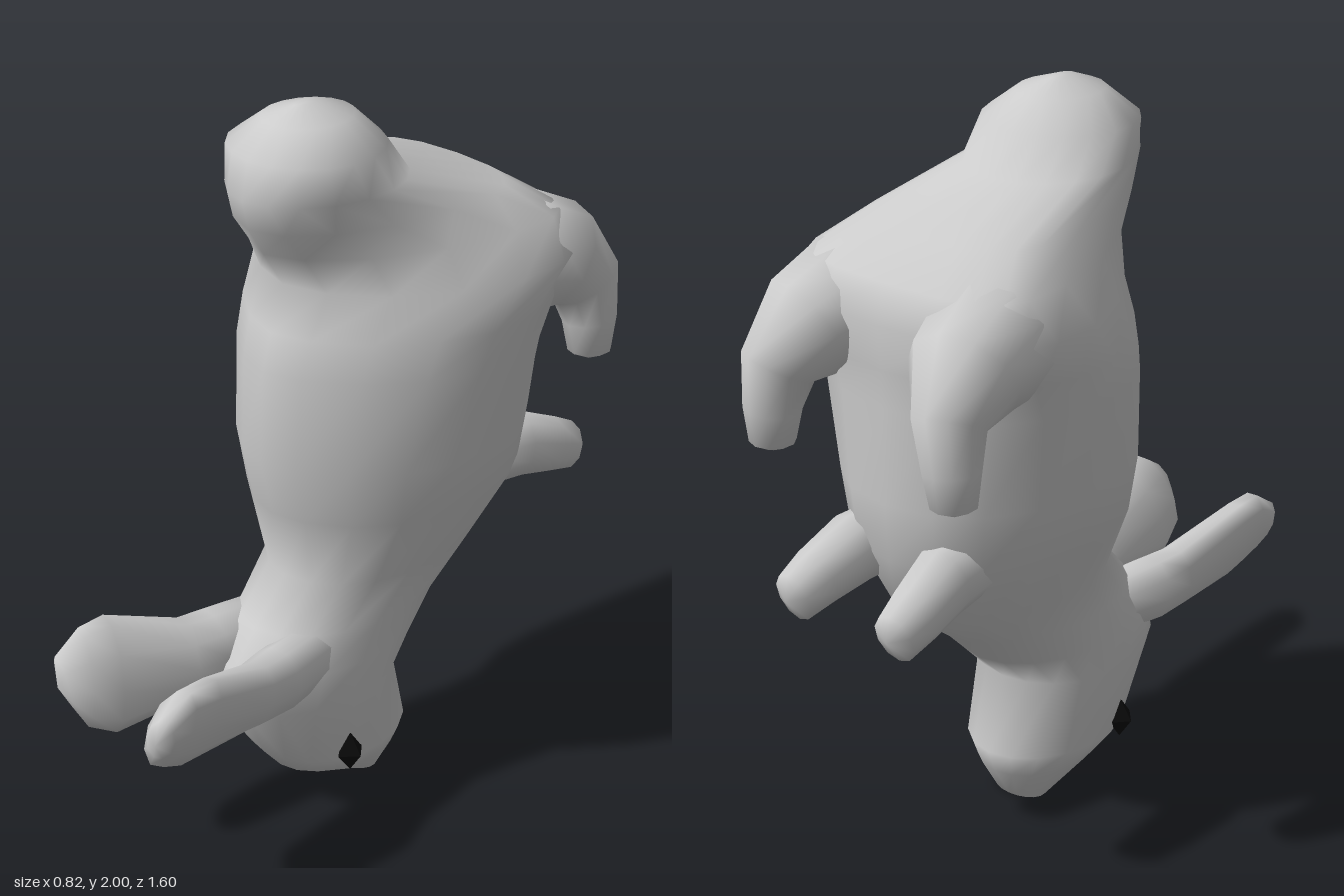
import * as THREE from 'three';

const grey = new THREE.MeshStandardMaterial({ color: 0xcccccc });
const black = new THREE.MeshStandardMaterial({ color: 0x0a0a0a });

// Smooth closed skin over rings of points, with a centre point at each end
function loft(rings, start, end) {
  const n = rings[0].length;
  const pts = [...rings.flat(), start, end];
  const index = [];
  const last = rings.length - 1;
  const s = pts.length - 2, e = pts.length - 1;
  for (let j = 0; j < n; j++) {
    const k = (j + 1) % n;
    for (let i = 0; i < last; i++) {
      const a = i * n + j, b = i * n + k;
      index.push(a, b, b + n, a, b + n, a + n);
    }
    index.push(s, k, j, e, last * n + j, last * n + k);
  }
  const g = new THREE.BufferGeometry().setFromPoints(pts);
  g.setIndex(index);
  g.computeVertexNormals();
  return g;
}

// Rows of [y, front z, back z, z of widest point, half width, front power, rear power]
// Power 1 is round, lower is squarer, higher is more wedge-shaped
function bodyGeometry(rows, sides = 18) {
  const bend = (v, power) => Math.sign(v) * Math.abs(v) ** power;
  const rings = rows.map(([y, zf, zb, zc, w, front, rear]) =>
    Array.from({ length: sides }, (_, j) => {
      const a = (j / sides) * Math.PI * 2;
      const s = Math.sin(a), c = Math.cos(a);
      const power = c > 0 ? front : rear;
      const depth = c > 0 ? zf - zc : zc - zb;
      return new THREE.Vector3(w * bend(s, power), y, zc + depth * bend(c, power));
    }));
  const centre = ([y, zf, zb]) => new THREE.Vector3(0, y, (zf + zb) / 2);
  return loft(rings, centre(rows[0]), centre(rows[rows.length - 1]));
}

// Stations of [x, y, z, radius along hint, radius across]; the last is the tip
function limbGeometry(stations, hint, side, sides = 10) {
  const p = stations.map(([x, y, z]) => new THREE.Vector3(side * x, y, z));
  const h = new THREE.Vector3(side * hint[0], hint[1], hint[2]);
  const rings = stations.slice(0, -1).map(([, , , ru, rv], i) => {
    const t = p[i + 1].clone().sub(p[Math.max(i - 1, 0)]).normalize();
    const v = t.clone().cross(h).normalize();
    const u = v.clone().cross(t);
    return Array.from({ length: sides }, (_, j) => {
      const a = (j / sides) * Math.PI * 2;
      return p[i].clone().addScaledVector(u, ru * Math.cos(a)).addScaledVector(v, rv * Math.sin(a));
    });
  });
  return loft(rings, p[0], p[p.length - 1]);
}

export function createModel() {
  const model = new THREE.Group();
  const add = (name, geometry, material = grey) => {
    const mesh = new THREE.Mesh(geometry, material);
    mesh.name = name;
    model.add(mesh);
    return mesh;
  };

  // Head at the bottom, trunk, and round tail at the top
  add('headBodyAndTail', bodyGeometry([
    [0.0, -0.03, -0.14, -0.09, 0.08, 1, 1],
    [0.1, 0.19, -0.2, -0.02, 0.15, 1, 1],
    [0.17, 0.25, -0.225, 0.03, 0.195, 1, 1],
    [0.38, 0.4, -0.16, 0.06, 0.21, 1, 1],
    [0.48, 0.36, -0.26, 0.02, 0.21, 0.9, 1],
    [0.58, 0.28, -0.36, -0.04, 0.21, 0.95, 1],
    [0.7, 0.17, -0.51, -0.12, 0.23, 1, 0.95],
    [0.9, 0.21, -0.6, -0.14, 0.33, 1.15, 0.9],
    [1.06, 0.25, -0.61, -0.15, 0.36, 1.2, 0.9],
    [1.32, 0.24, -0.61, -0.2, 0.4, 1.25, 0.9],
    [1.42, 0.21, -0.61, -0.25, 0.405, 1.2, 0.8],
    [1.54, 0.165, -0.62, -0.36, 0.415, 1.15, 0.7],
    [1.64, 0.23, -0.59, -0.41, 0.35, 1.15, 0.7],
    [1.72, 0.28, -0.47, -0.27, 0.27, 1, 0.75],
    [1.8, 0.3, -0.2, 0.02, 0.21, 1, 1],
    [1.9, 0.28, -0.12, 0.08, 0.205, 1, 1],
    [1.97, 0.2, -0.05, 0.08, 0.11, 1, 1],
    [2.0, 0.12, 0.04, 0.08, 0.02, 1, 1],
  ]));

  for (const side of [1, -1]) {
    const tag = side > 0 ? 'left' : 'right';

    // Flat tilted ear
    add(tag + 'Ear', limbGeometry([
      [0.1, 0.5, 0.16, 0.09, 0.08],
      [0.12, 0.49, 0.32, 0.105, 0.085],
      [0.13, 0.49, 0.42, 0.11, 0.075],
      [0.16, 0.53, 0.65, 0.155, 0.065],
      [0.17, 0.55, 0.73, 0.13, 0.06],
      [0.19, 0.55, 0.78, 0.07, 0.04],
      [0.19, 0.54, 0.8],
    ], [0.42, 0.91, 0], side));

    // Haunch spreading from the rump and curving down to the foot
    add(tag + 'HindLeg', limbGeometry([
      [0.19, 1.53, -0.3, 0.1, 0.12],
      [0.23, 1.51, -0.47, 0.17, 0.17],
      [0.25, 1.47, -0.59, 0.15, 0.145],
      [0.28, 1.38, -0.68, 0.105, 0.09],
      [0.295, 1.27, -0.69, 0.075, 0.075],
      [0.3, 1.18, -0.69, 0.06, 0.06],
      [0.3, 1.15, -0.69],
    ], [0, 0.7, -0.7], side));

    // Short blunt foreleg
    add(tag + 'Foreleg', limbGeometry([
      [0.13, 0.89, -0.4, 0.09, 0.09],
      [0.15, 0.88, -0.57, 0.095, 0.085],
      [0.165, 0.84, -0.69, 0.08, 0.075],
      [0.17, 0.81, -0.77, 0.07, 0.06],
      [0.17, 0.81, -0.8],
    ], [0, 1, 0], side));

    // Diamond eye
    const eye = add(tag + 'Eye', new THREE.OctahedronGeometry(1), black);
    eye.scale.set(0.04, 0.06, 0.045);
    eye.position.set(side * 0.19, 0.2, 0.11);
  }
  return model;
}
